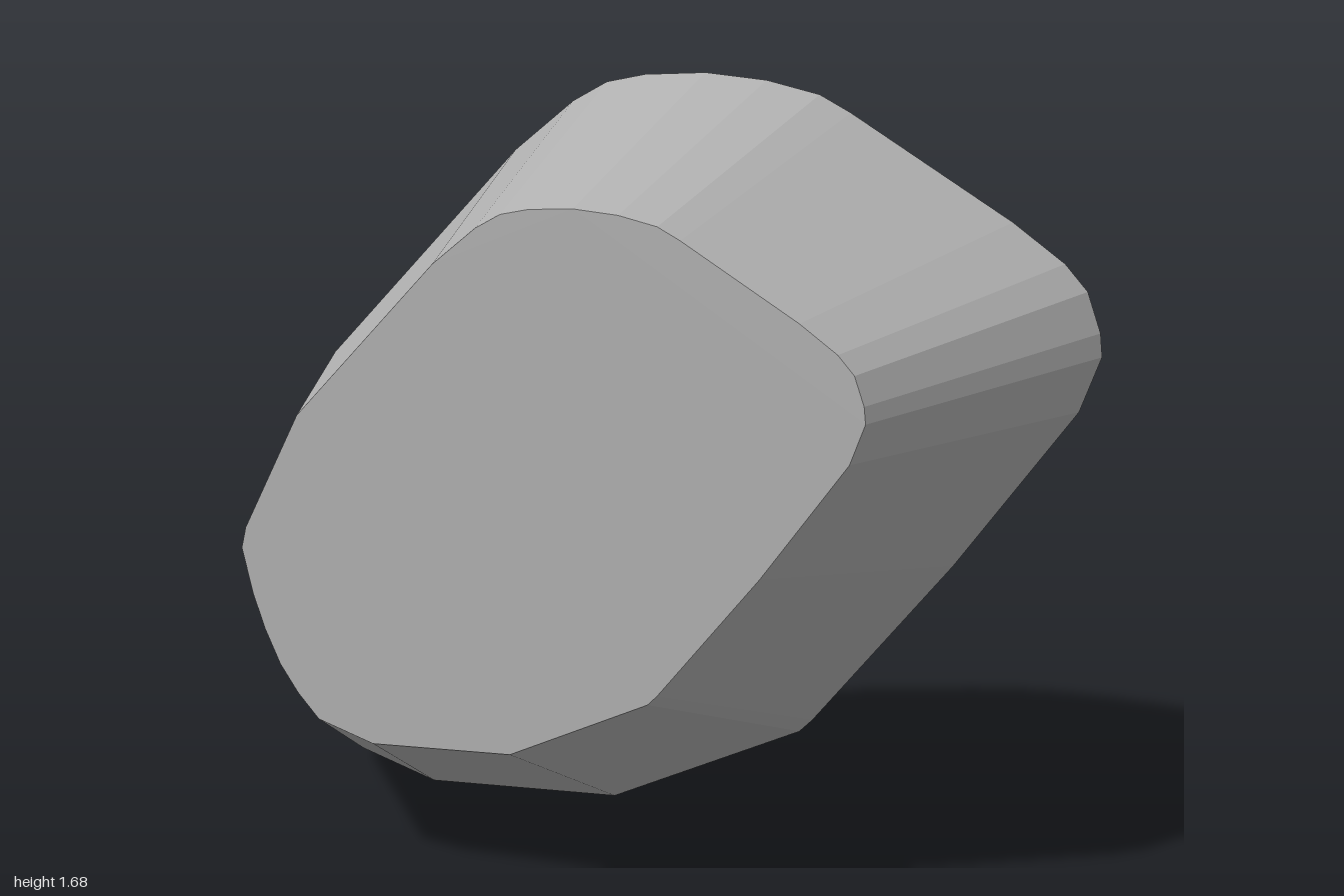
import * as THREE from 'three';

const DEPTH = 0.62;
const FRONT_SCALE = 0.7;
const CENTRE_Y = 0.98;

// Back outline, counter-clockwise from the left tip
const OUTLINE = [
  [-1, 0.57], [-0.965, 0.43], [-0.925, 0.32], [-0.875, 0.215], [-0.815, 0.13], [-0.745, 0.055],
  [-0.56, 0], [-0.1, 0.025], [0.345, 0.235], [0.375, 0.265], [0.69, 0.65], [0.955, 1.01],
  [1, 1.13], [0.995, 1.18], [0.965, 1.265], [0.915, 1.32], [0.8, 1.4],
  [0.44, 1.61], [0.37, 1.645], [0.25, 1.67], [0.11, 1.68], [-0.03, 1.67],
  [-0.12, 1.65], [-0.2, 1.605], [-0.34, 1.49], [-0.8, 1], [-0.985, 0.635],
];

export function createModel() {
  const group = new THREE.Group();
  group.name = 'taperedStone';

  const stoneGrey = new THREE.MeshStandardMaterial({ color: 0xb0b0b0 });
  stoneGrey.name = 'stoneGrey';

  // Extruded about the taper axis, then narrowed towards the front
  const shape = new THREE.Shape(OUTLINE.map(([x, y]) => new THREE.Vector2(x, y - CENTRE_Y)));
  const geometry = new THREE.ExtrudeGeometry(shape, { depth: DEPTH, bevelEnabled: false });
  const position = geometry.attributes.position;
  for (let i = 0; i < position.count; i++) {
    const z = position.getZ(i);
    const scale = THREE.MathUtils.lerp(1, FRONT_SCALE, z / DEPTH);
    position.setXYZ(i, position.getX(i) * scale, position.getY(i) * scale + CENTRE_Y, z - DEPTH / 2);
  }
  geometry.computeVertexNormals();

  const body = new THREE.Mesh(geometry, stoneGrey);
  body.name = 'stoneBody';
  group.add(body);
  return group;
}
